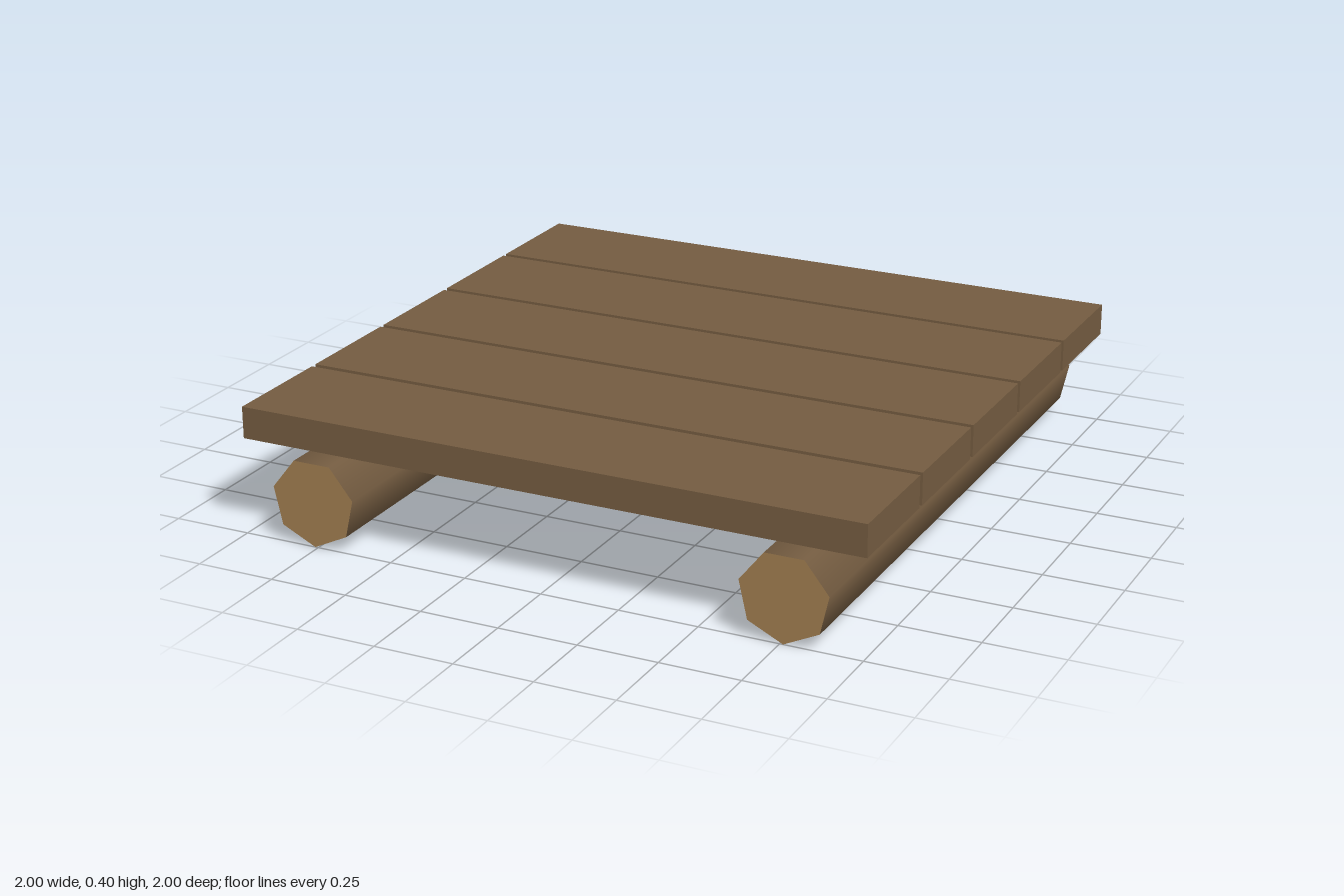
import * as THREE from 'three';

export function createModel() {
  const model = new THREE.Group();
  model.name = 'raft';

  const wood = new THREE.MeshStandardMaterial({ color: 0x735b40 });
  wood.name = 'brown wood';
  const cutWood = new THREE.MeshStandardMaterial({ color: 0xa07d4f });
  cutWood.name = 'cut wood';

  // Two seven-sided logs, smooth along the sides, with pale cut ends
  const radius = 0.14;
  const logGeometry = new THREE.CylinderGeometry(radius, radius, 2, 7);
  logGeometry.rotateX(Math.PI / 2);
  for (const side of [-1, 1]) {
    const log = new THREE.Mesh(logGeometry, [wood, cutWood, cutWood]);
    log.name = side > 0 ? 'leftLog' : 'rightLog';
    log.position.set(side * 0.76, radius, 0);
    model.add(log);
  }

  // Five deck planks laid across the logs
  const plankGeometry = new THREE.BoxGeometry(2, 0.1, 0.38);
  for (let i = 0; i < 5; i++) {
    const plank = new THREE.Mesh(plankGeometry, wood);
    plank.name = `plank${i + 1}`;
    plank.position.set(0, 0.353, (i - 2) * 0.4);
    model.add(plank);
  }

  return model;
}
